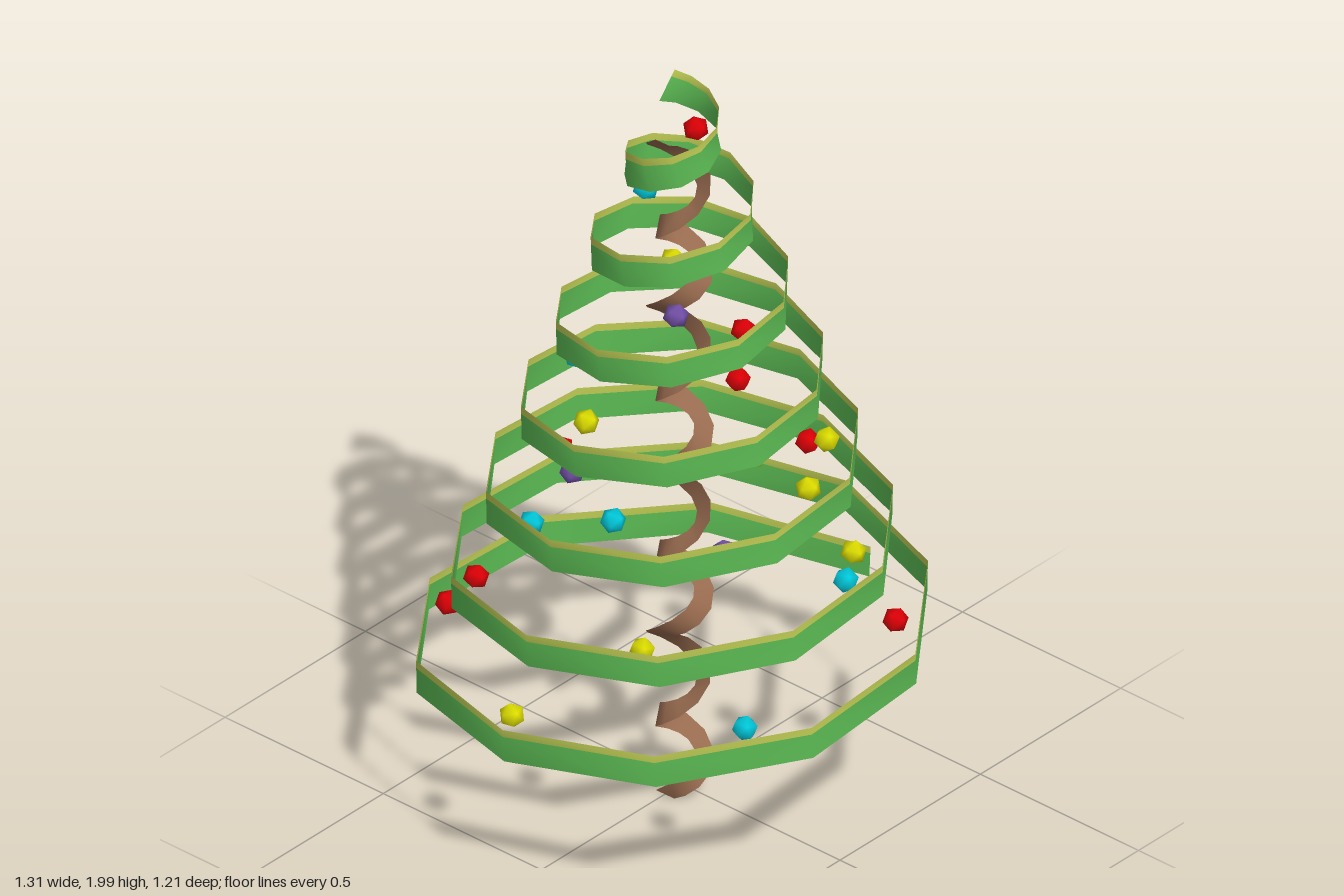
import * as THREE from 'three';

const CX = -0.024, CZ = 0.018;

const paint = (name, color, side = THREE.FrontSide) => {
  const m = new THREE.MeshStandardMaterial({ color, side });
  m.name = name;
  return m;
};

// Point on a ribbon coiling upwards: t counts turns from +x round the back,
// s is the offset across the ribbon, twist turns it from upright to outward
function ribbonPoint(t, r, y, pitch, s, twist) {
  const a = t * Math.PI * 2;
  const slope = Math.atan2(pitch, 2 * Math.PI * r);
  const up = s * Math.cos(twist), out = r + s * Math.sin(twist);
  const back = up * Math.sin(slope);
  return [
    CX + out * Math.cos(a) + back * Math.sin(a),
    y + up * Math.cos(slope),
    CZ - out * Math.sin(a) + back * Math.cos(a),
  ];
}

// Conical leaf spiral, ten sides per turn
function leafEdge(i, s) {
  const t = i / 10, pitch = 0.2267;
  return ribbonPoint(t, 0.674 - 0.0847 * t, 0.327 + pitch * t, pitch, s, 0);
}

// Trunk ribbon, ten sides per turn, twisting three quarters round per turn
function trunkEdge(i, s) {
  const t = 0.5 + i / 10, pitch = 0.229;
  const twist = Math.PI / 2 - 1.5 * Math.PI * (t - 1);
  return ribbonPoint(t, 0.056, 0.025 + pitch * i / 10, pitch, s, twist);
}

// Band of quads between two edges; edge(i, s) gives the point at step i, side s
function band(name, steps, edge, from, to, material) {
  const pos = [], index = [];
  for (let i = 0; i <= steps; i++) {
    pos.push(...edge(i, from), ...edge(i, to));
    if (i < steps) {
      const k = i * 2;
      index.push(k, k + 2, k + 1, k + 1, k + 2, k + 3);
    }
  }
  const g = new THREE.BufferGeometry();
  g.setAttribute('position', new THREE.Float32BufferAttribute(pos, 3));
  g.setIndex(index);
  g.computeVertexNormals();
  const mesh = new THREE.Mesh(g, material);
  mesh.name = name;
  return mesh;
}

// Bauble centres by colour
const BAUBLES = {
  red: [[-0.275, 0.44, -0.495], [-0.4, 0.66, -0.295], [-0.3, 1.05, -0.115], [0.05, 1.83, 0],
    [0.243, 1.16, -0.02], [0.41, 0.79, 0.035], [-0.07, 1.285, 0.24], [0.243, 0.55, 0.46]],
  cyan: [[0.285, 0.41, -0.47], [-0.37, 0.86, -0.147], [-0.172, 1.22, -0.177], [0.15, 1, -0.257],
    [0.032, 1.61, -0.142], [0.075, 0.74, 0.452], [-0.305, 0.515, 0.47]],
  purple: [[0.134, 0.625, -0.465], [-0.175, 1.47, 0.137], [-0.213, 0.905, 0.325]],
  yellow: [[0.09, 0.82, -0.382], [0.12, 1.367, -0.135], [-0.588, 0.48, -0.015], [0.488, 0.59, -0.033],
    [0.595, 0.38, 0.015], [0.272, 0.94, 0.217], [-0.425, 0.7, 0.252], [-0.088, 1.105, 0.302]],
};

export function createModel() {
  const tree = new THREE.Group();
  tree.name = 'spiralTree';

  const green = paint('leaf green', 0x5cbb54, THREE.DoubleSide);
  const lime = paint('edge lime', 0xbecb54, THREE.DoubleSide);
  const brown = paint('bark brown', 0x986b4f, THREE.DoubleSide);
  const balls = {
    red: paint('bauble red', 0xe00006),
    cyan: paint('bauble cyan', 0x00cadc),
    purple: paint('bauble purple', 0x7450a8),
    yellow: paint('bauble yellow', 0xdede00),
  };

  // Leaf spiral with a pale upper border
  tree.add(band('leafSpiral', 72, leafEdge, -0.043, 0.024, green));
  tree.add(band('leafBorder', 72, leafEdge, 0.024, 0.043, lime));

  // Twisted trunk
  tree.add(band('trunk', 80, trunkEdge, -0.029, 0.029, brown));

  // Hanging baubles, softly shaded
  const ball = new THREE.IcosahedronGeometry(0.032, 0);
  ball.setAttribute('normal', ball.attributes.position.clone());
  ball.normalizeNormals();
  for (const [colour, spots] of Object.entries(BAUBLES)) {
    const set = new THREE.Group();
    set.name = colour + 'Baubles';
    spots.forEach((spot, i) => {
      const m = new THREE.Mesh(ball, balls[colour]);
      m.name = 'bauble';
      m.position.set(...spot);
      m.rotation.set(i * 0.7, i * 1.1, 0);
      set.add(m);
    });
    tree.add(set);
  }
  return tree;
}
